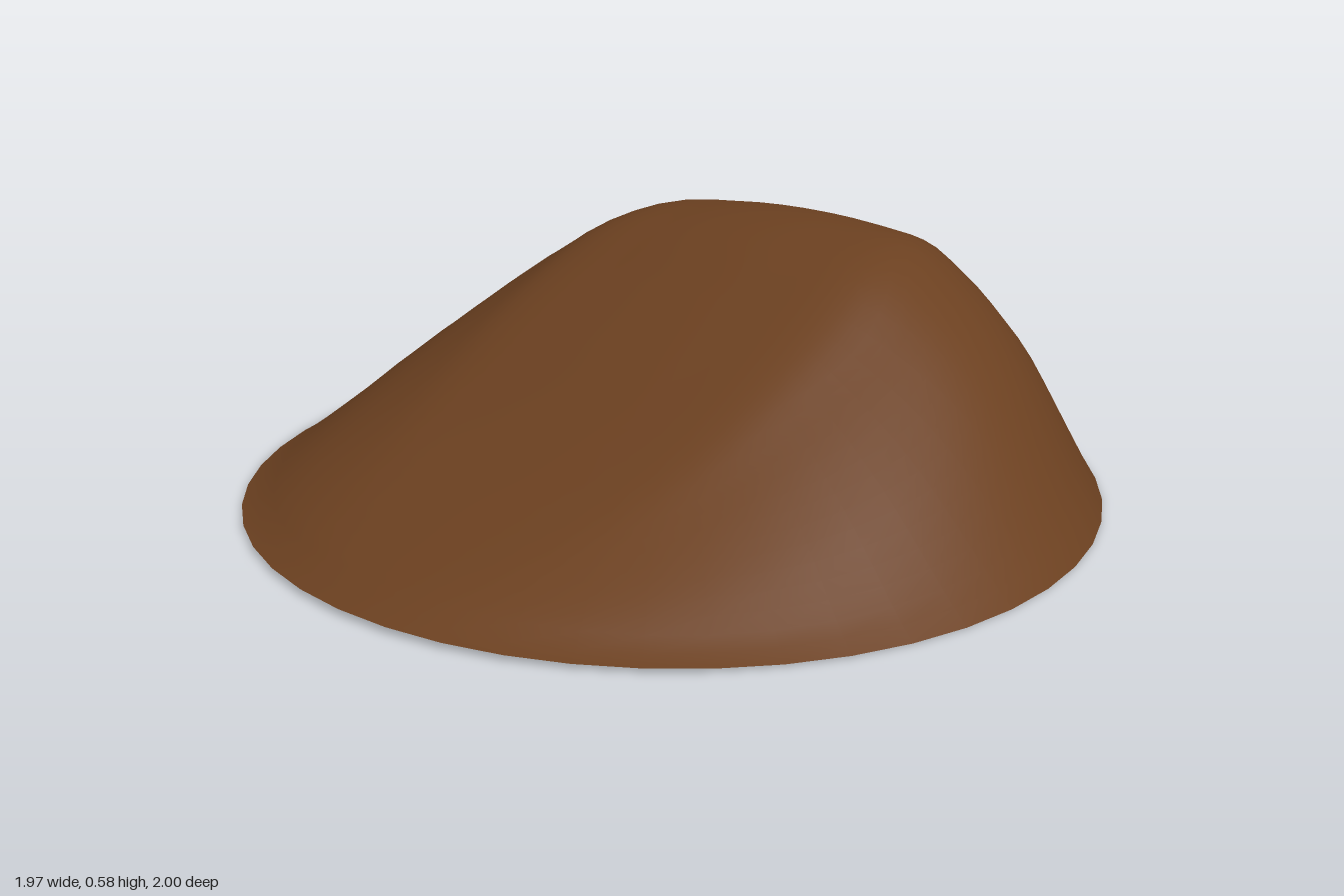
import * as THREE from 'three';
import { mergeVertices } from 'three/addons/utils/BufferGeometryUtils.js';

// Smooth curve through [position, value] pairs
function smoothCurve(points) {
  const curve = new THREE.CubicInterpolant(points.map(p => p[0]), points.map(p => p[1]), 1);
  return t => curve.evaluate(t)[0];
}

// Crest height from back to front along the middle
const crest = smoothCurve([
  [-1, 0.02], [-0.9, 0.18], [-0.8, 0.33], [-0.7, 0.445], [-0.6, 0.523], [-0.5, 0.562], [-0.38, 0.575],
  [-0.2, 0.545], [0, 0.455], [0.2, 0.355], [0.4, 0.25], [0.6, 0.16], [0.8, 0.09], [0.9, 0.057], [1, 0.015],
]);

// Sideways falloff, from the middle (0) to the rim (1)
const falloff = smoothCurve([
  [-0.21, 0.985], [0, 1], [0.21, 0.985], [0.43, 0.93], [0.53, 0.83], [0.64, 0.7],
  [0.75, 0.53], [0.84, 0.35], [0.93, 0.15], [1, 0],
]);

export function createModel() {
  const group = new THREE.Group();
  group.name = 'mound';

  // Disc raised into an open, lopsided shell
  let geometry = new THREE.RingGeometry(0, 1, 48, 28).rotateX(-Math.PI / 2);
  geometry.deleteAttribute('uv');
  geometry.deleteAttribute('normal');
  geometry = mergeVertices(geometry, 1e-4);

  const pos = geometry.attributes.position;
  for (let i = 0; i < pos.count; i++) {
    const x = pos.getX(i), z = THREE.MathUtils.clamp(pos.getZ(i), -1, 1);
    const halfWidth = Math.sqrt(Math.max(1 - z * z, 0));
    const t = halfWidth > 1e-3 ? Math.min(Math.abs(x) / halfWidth, 1) : 0;
    const rim = 0.015 * z * z;
    pos.setXYZ(i, x * 0.985, Math.max(crest(z) * falloff(t), rim), z);
  }
  geometry.computeVertexNormals();

  const shell = new THREE.Mesh(geometry, new THREE.MeshStandardMaterial({ color: 0x6b4020, side: THREE.DoubleSide }));
  shell.name = 'moundShell';
  group.add(shell);
  return group;
}
